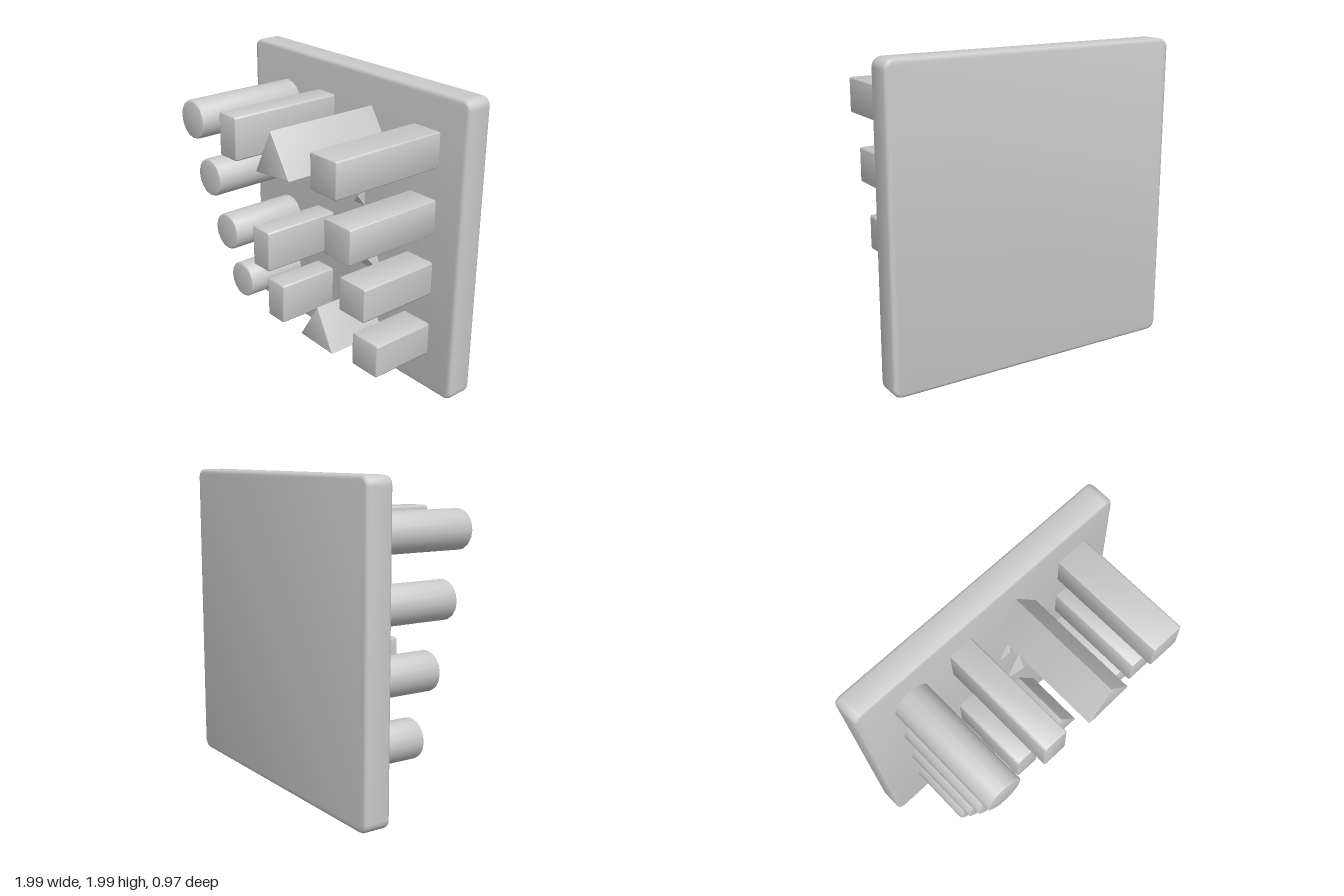
import * as THREE from 'three';
import { toCreasedNormals } from 'three/addons/utils/BufferGeometryUtils.js';

const material = new THREE.MeshStandardMaterial({ color: 0xcccccc });

// Prism along z between z0 and z1, with softened end edges inside the outline
function prism(name, shape, z0, z1, bevel) {
  const geometry = new THREE.ExtrudeGeometry(shape, {
    depth: z1 - z0 - 2 * bevel, bevelThickness: bevel, bevelSize: bevel,
    bevelOffset: -bevel, bevelSegments: 2, curveSegments: 8,
  });
  geometry.translate(0, 0, z0 + bevel);
  const mesh = new THREE.Mesh(toCreasedNormals(geometry, 0.8), material);
  mesh.name = name;
  return mesh;
}

// Rectangle with rounded corners
function roundedRect(x, y, w, h, r) {
  const s = new THREE.Shape();
  const a = w / 2 - r, b = h / 2 - r;
  s.absarc(x + a, y + b, r, 0, Math.PI / 2);
  s.absarc(x - a, y + b, r, Math.PI / 2, Math.PI);
  s.absarc(x - a, y - b, r, Math.PI, Math.PI * 1.5);
  s.absarc(x + a, y - b, r, Math.PI * 1.5, Math.PI * 2);
  s.closePath();
  return s;
}

const triangle = (points) => new THREE.Shape(points.map(([x, y]) => new THREE.Vector2(x, y)));

function disc(x, y, r) {
  const s = new THREE.Shape();
  s.absarc(x, y, r, 0, Math.PI * 2);
  return s;
}

// Low three-sided bump left on the plate where a triangular peg is missing
function bump(name, corners, apex) {
  const faces = [0, 1, 2].flatMap((i) => [...corners[i], ...corners[(i + 1) % 3], ...apex]);
  const geometry = new THREE.BufferGeometry();
  geometry.setAttribute('position', new THREE.Float32BufferAttribute(faces, 3));
  geometry.computeVertexNormals();
  const mesh = new THREE.Mesh(geometry, material);
  mesh.name = name;
  return mesh;
}

export function createModel() {
  const group = new THREE.Group();
  group.name = 'pegBoard';

  // Upright board, turned very slightly
  const plate = prism('plate', roundedRect(0, 0.993, 1.99, 1.985, 0.06), -0.48, -0.305, 0.02);
  plate.rotation.y = 0.006;
  group.add(plate);

  // Four rows of pegs, each row shorter than the one above
  const root = -0.33;
  const rows = [
    { y: 1.64, tip: 0.48, bar: 1.63, square: [0.67, 1.645], tri: [[0.05, 1.49], [0.37, 1.52], [0.2, 1.78]] },
    { y: 1.215, tip: 0.37, square: [0.665, 1.215] },
    { y: 0.785, tip: 0.25, bar: 0.8, square: [0.665, 0.8] },
    { y: 0.375, tip: 0.135, bar: 0.37, square: [0.665, 0.37], tri: [[0.04, 0.24], [0.36, 0.23], [0.21, 0.51]] },
  ];
  for (const { y, tip, bar, square, tri } of rows) {
    group.add(prism('roundPeg', disc(-0.63, y, 0.127), root, tip, 0.012));
    group.add(prism('squarePeg', roundedRect(...square, 0.225, 0.225, 0.015), root, tip, 0.008));
    if (bar) group.add(prism('barPeg', roundedRect(-0.235, bar, 0.17, 0.28, 0.015), root, tip, 0.008));
    if (tri) group.add(prism('trianglePeg', triangle(tri), root, tip, 0.005));
  }

  // Remains of the two missing triangular pegs
  group.add(bump('upperStub', [[0.04, 1.08, -0.31], [0.17, 1.08, -0.31], [0.16, 1.33, -0.31]], [0.12, 1.15, -0.28]));
  group.add(bump('lowerStub', [[0.09, 0.66, -0.31], [0.35, 0.66, -0.31], [0.22, 0.94, -0.31]], [0.22, 0.76, -0.26]));

  return group;
}
